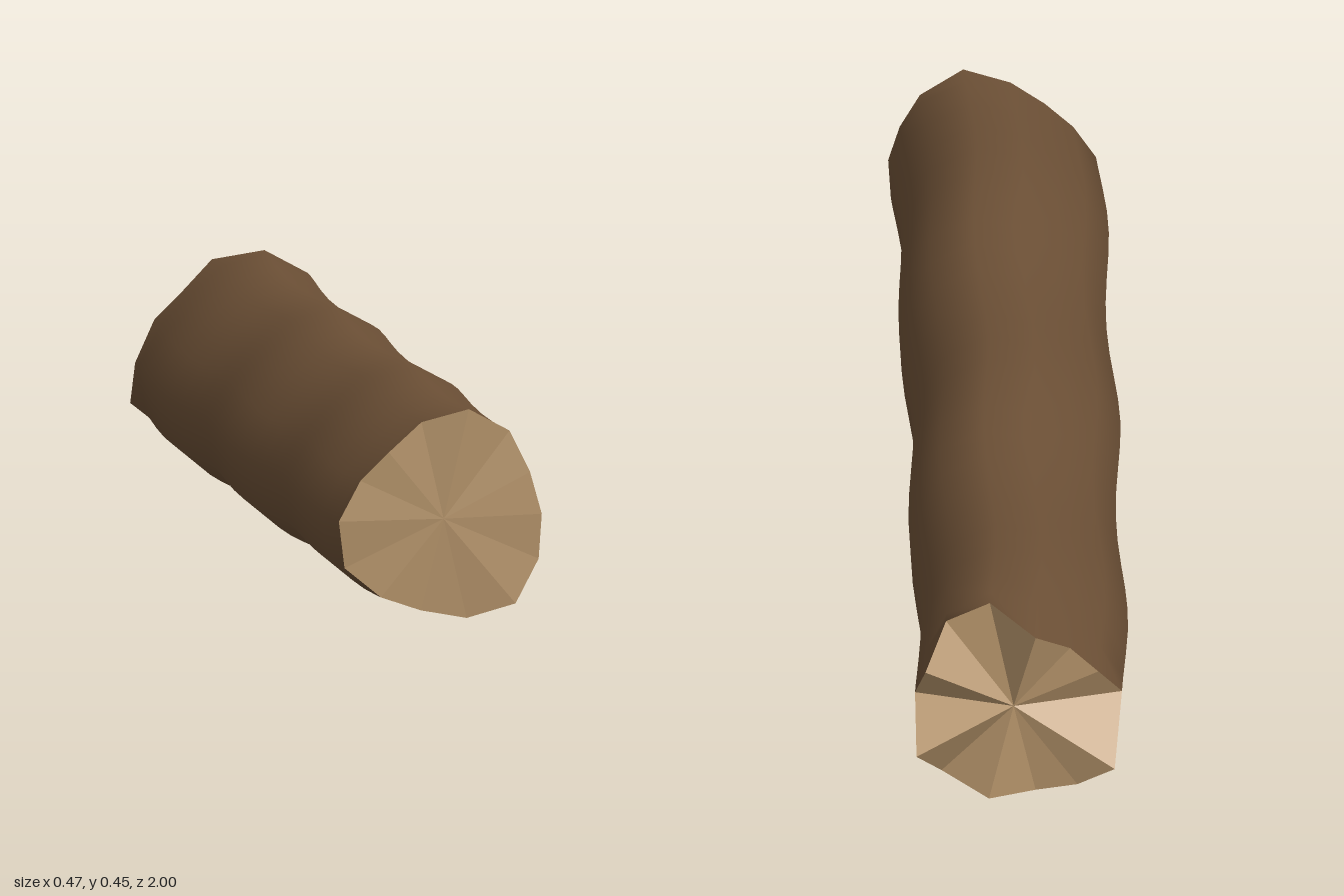
import * as THREE from 'three';

// Cross-section at the sawn end, clockwise from the top
const SECTION = [
  [0.05, 0.436], [0.14, 0.386], [0.18, 0.3], [0.203, 0.213], [0.198, 0.12],
  [0.148, 0.03], [0.05, 0.002], [-0.045, 0.021], [-0.13, 0.052], [-0.205, 0.115],
  [-0.22, 0.213], [-0.173, 0.295], [-0.115, 0.352], [-0.045, 0.411],
];
// Depth of each rim point: almost flat sawn end, splintered broken end
const SAWN = [1, 0.985, 0.995, 1, 0.995, 1, 0.985, 0.98, 0.985, 0.98, 0.99, 0.985, 0.99, 0.985];
const BROKEN = [-0.865, -0.855, -0.91, -0.86, -0.95, -0.88, -0.94, -0.94, -0.965, -1,
  -0.875, -0.915, -0.91, -0.95];
const N = SECTION.length;
const RINGS = 24;

// Gentle bend and wobble of the trunk's centre line
function sway(z) {
  const x = 0.0095 * (1 - z) ** 2 + 0.009 * Math.cos((2 * Math.PI * (z - 0.41)) / 0.68);
  const y = 0.007 * Math.cos((2 * Math.PI * (z - 0.59)) / 0.69);
  return [x, y];
}
const START = sway(1);

function place(px, py, z) {
  const [x, y] = sway(z);
  return [px + x - START[0], py + y - START[1], z];
}

const rimPoint = (i, z) => place(SECTION[i % N][0], SECTION[i % N][1], z);

// Smooth skin running from the sawn rim to the broken rim
function barkGeometry() {
  const positions = [];
  const index = [];
  for (let r = 0; r <= RINGS; r++) {
    for (let i = 0; i < N; i++) {
      let z = 0.96 - (1.79 * (r - 1)) / (RINGS - 2);
      if (r === 0) z = SAWN[i];
      if (r === RINGS) z = BROKEN[i];
      positions.push(...rimPoint(i, z));
    }
  }
  for (let r = 0; r < RINGS; r++) {
    for (let i = 0; i < N; i++) {
      const j = (i + 1) % N;
      const a = r * N + i, b = r * N + j, c = a + N, d = b + N;
      index.push(a, b, c, b, d, c);
    }
  }
  const geometry = new THREE.BufferGeometry();
  geometry.setAttribute('position', new THREE.Float32BufferAttribute(positions, 3));
  geometry.setIndex(index);
  geometry.computeVertexNormals();
  return geometry;
}

// Faceted fan of wood closing one end
function endGeometry(depths, centreZ, facesFront) {
  const positions = [];
  const centre = place(0, 0.21, centreZ);
  for (let i = 0; i < N; i++) {
    const p = rimPoint(i, depths[i]);
    const q = rimPoint(i + 1, depths[(i + 1) % N]);
    positions.push(...centre, ...(facesFront ? [...q, ...p] : [...p, ...q]));
  }
  const geometry = new THREE.BufferGeometry();
  geometry.setAttribute('position', new THREE.Float32BufferAttribute(positions, 3));
  geometry.computeVertexNormals();
  return geometry;
}

export function createModel() {
  const bark = new THREE.MeshStandardMaterial({ color: 0x6b4f35 });
  bark.name = 'bark brown';
  const wood = new THREE.MeshStandardMaterial({ color: 0xb8966c });
  wood.name = 'bare wood';

  const log = new THREE.Group();
  log.name = 'log';
  const add = (name, geometry, material) => {
    const mesh = new THREE.Mesh(geometry, material);
    mesh.name = name;
    log.add(mesh);
  };
  add('bark', barkGeometry(), bark);
  add('sawnEnd', endGeometry(SAWN, 0.99, true), wood);
  add('brokenEnd', endGeometry(BROKEN, -0.91, false), wood);
  return log;
}
